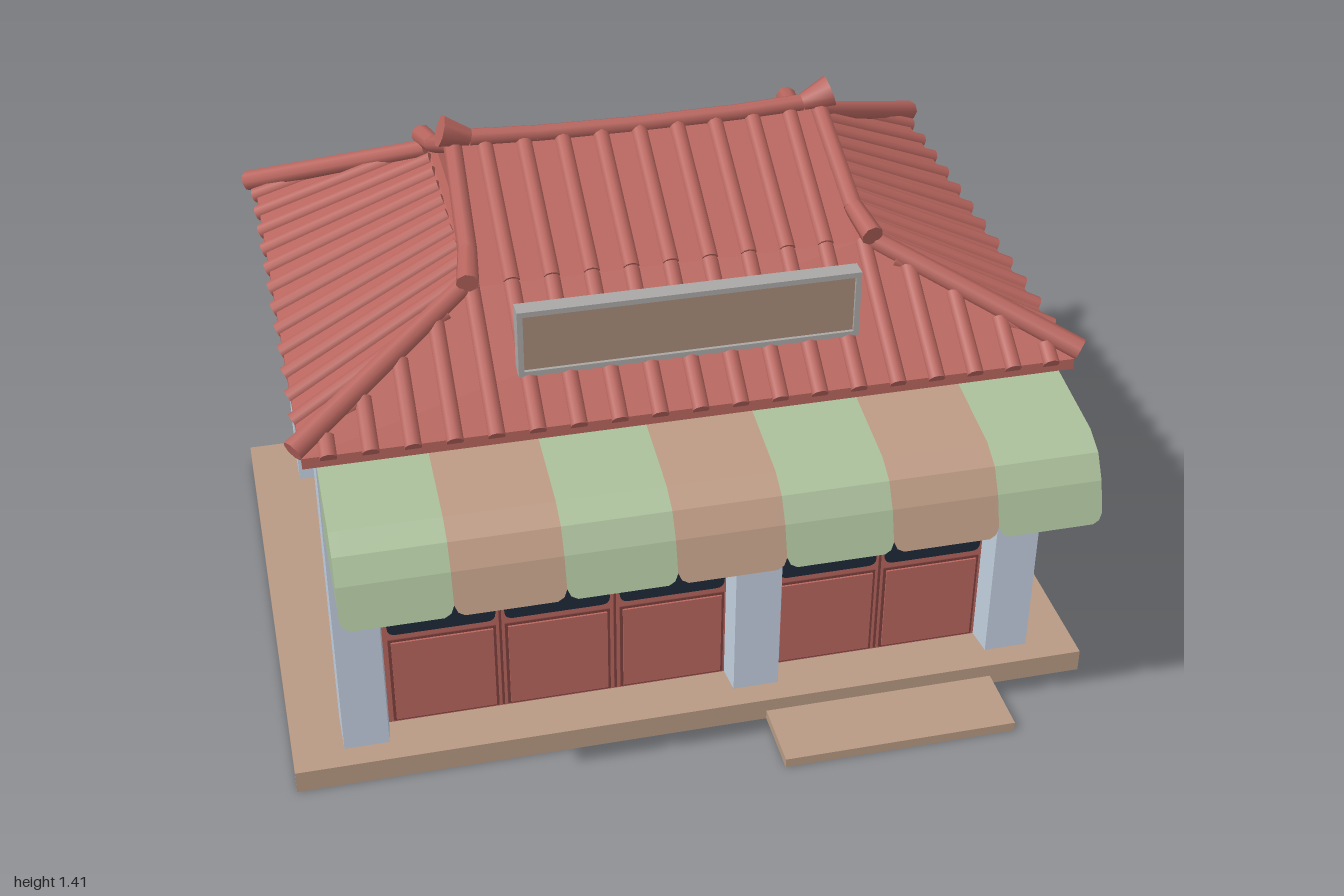
import * as THREE from 'three';

const mat = (name, color, side = THREE.FrontSide) => {
  const m = new THREE.MeshStandardMaterial({ color, side });
  m.name = name;
  return m;
};

export function createModel() {
  const root = new THREE.Group();
  root.name = 'tileRoofShop';
  const wall = mat('paleBlueWall', 0xc2cfdf);
  const red = mat('tileRed', 0xb9665f, THREE.DoubleSide);
  const brown = mat('baseBrown', 0xb89a84);
  const glass = mat('darkGlass', 0x1c2938);
  const green = mat('awningGreen', 0xaabf9b, THREE.DoubleSide);
  const tan = mat('awningTan', 0xbc9a84, THREE.DoubleSide);
  const grey = mat('signGrey', 0xaaa8a6);
  const signBrown = mat('signBrown', 0xa58b78);
  const edge = mat('doorShadowRed', 0x7c403d);

  const add = (name, geo, m, parent = root) => {
    const mesh = new THREE.Mesh(geo, m);
    mesh.name = name;
    parent.add(mesh);
    return mesh;
  };
  const group = (name) => {
    const g = new THREE.Group();
    g.name = name;
    root.add(g);
    return g;
  };
  // Box given by its limits on each axis
  const box = (name, m, x0, x1, y0, y1, z0, z1, parent) => {
    const geo = new THREE.BoxGeometry(x1 - x0, y1 - y0, z1 - z0);
    geo.translate((x0 + x1) / 2, (y0 + y1) / 2, (z0 + z1) / 2);
    return add(name, geo, m, parent);
  };
  // Round bar between two points, optionally tapered
  const bar = (name, a, b, r0, r1, sides, parent) => {
    const p = new THREE.Vector3(...a), q = new THREE.Vector3(...b);
    const d = q.clone().sub(p);
    const mesh = add(name, new THREE.CylinderGeometry(r1, r0, d.length(), sides), red, parent);
    mesh.position.copy(p).add(q).multiplyScalar(0.5);
    mesh.quaternion.setFromUnitVectors(new THREE.Vector3(0, 1, 0), d.normalize());
  };
  // Upright prism from an x, z outline
  const prism = (name, m, pts, y0, y1) => {
    const shape = new THREE.Shape(pts.map(([x, z]) => new THREE.Vector2(x, -z)));
    const geo = new THREE.ExtrudeGeometry(shape, { depth: y1 - y0, bevelEnabled: false });
    add(name, geo.rotateX(-Math.PI / 2).translate(0, y0, 0), m);
  };
  // Flat-shaded geometry from quads or triangles of corner points
  const faces = (list) => {
    const pos = [];
    for (const f of list)
      for (let i = 1; i < f.length - 1; i++) pos.push(...f[0], ...f[i], ...f[i + 1]);
    const geo = new THREE.BufferGeometry();
    geo.setAttribute('position', new THREE.Float32BufferAttribute(pos, 3));
    geo.computeVertexNormals();
    return geo;
  };

  // Base tray, open below, and the step
  box('baseTop', brown, -1, 1, 0.05, 0.06, -0.83, 0.55);
  for (const x of [-1, 0.99]) box('baseSide', brown, x, x + 0.01, 0, 0.05, -0.83, 0.55);
  for (const z of [-0.83, 0.54]) box('baseSide', brown, -0.99, 0.99, 0, 0.05, z, z + 0.01);
  box('frontStep', brown, 0.17, 0.76, 0, 0.025, 0.55, 0.73);

  // Walls
  box('wallBlock', wall, -0.785, 0.785, 0.06, 0.94, -0.765, 0.41);
  box('wallTop', wall, -0.785, 0.785, 0.94, 0.98, -0.69, 0.36);
  box('frontLintel', wall, -0.78, 0.78, 0.85, 0.935, 0.4, 0.48);

  // Pillars with slightly slanted returns
  for (const s of [-1, 1]) {
    const pillar = (name, pts) => prism(name, wall, pts.map(([x, z]) => [s * x, z]), 0.06, 0.935);
    pillar('frontPillar', [[0.875, 0.49], [0.765, 0.49], [0.756, 0.41], [0.78, 0.362], [0.875, 0.372]]);
    pillar('backPillar', [[0.875, -0.765], [0.77, -0.765], [0.78, -0.635], [0.875, -0.645]]);
  }
  prism('middlePillar', wall, [[0.1, 0.49], [0.215, 0.49], [0.223, 0.41], [0.092, 0.41]], 0.06, 0.935);

  // Wall footings inside the base tray
  const footings = group('footings');
  const strip = (x0, x1, z0, z1) => box('footing', wall, x0, x1, 0.005, 0.05, z0, z1, footings);
  strip(-0.77, 0.77, -0.765, -0.76);
  for (const s of [-1, 1]) {
    const stripX = (a, b, z0, z1) => strip(Math.min(s * a, s * b), Math.max(s * a, s * b), z0, z1);
    stripX(0.78, 0.785, -0.645, 0.372);
    stripX(0.87, 0.875, -0.765, -0.645);
    stripX(0.87, 0.875, 0.372, 0.49);
    stripX(0.77, 0.87, -0.765, -0.76);
    stripX(0.785, 0.87, -0.65, -0.645);
    stripX(0.785, 0.87, 0.372, 0.377);
    stripX(0.765, 0.87, 0.485, 0.49);
    stripX(0.76, 0.765, 0.42, 0.49);
  }
  strip(0.1, 0.215, 0.485, 0.49);
  for (const x of [0.1, 0.21]) strip(x, x + 0.005, 0.42, 0.485);
  box('doorSill', edge, -0.765, 0.765, 0.04, 0.05, 0.415, 0.42, footings);

  // Door panels with rounded windows
  const doors = group('doors');
  box('doorFrameLeft', red, -0.758, 0.094, 0.06, 0.85, 0.4, 0.42, doors);
  box('doorFrameRight', red, 0.221, 0.758, 0.06, 0.85, 0.4, 0.42, doors);
  const windowPane = (x0, x1, y0, y1, r) => {
    const s = new THREE.Shape();
    s.moveTo(x0 + r, y0);
    s.lineTo(x1 - r, y0);
    s.quadraticCurveTo(x1, y0, x1, y0 + r);
    s.lineTo(x1, y1 - r);
    s.quadraticCurveTo(x1, y1, x1 - r, y1);
    s.lineTo(x0 + r, y1);
    s.quadraticCurveTo(x0, y1, x0, y1 - r);
    s.lineTo(x0, y0 + r);
    s.quadraticCurveTo(x0, y0, x0 + r, y0);
    const geo = new THREE.ExtrudeGeometry(s, { depth: 0.006, bevelEnabled: false, curveSegments: 4 });
    return geo.translate(0, 0, 0.42);
  };
  for (const [a, b] of [[-0.745, -0.482], [-0.46, -0.2], [-0.175, 0.088], [0.228, 0.478], [0.5, 0.75]]) {
    box('doorPanelEdge', edge, a, b, 0.065, 0.32, 0.42, 0.423, doors);
    box('doorPanel', red, a + 0.007, b - 0.007, 0.072, 0.313, 0.42, 0.428, doors);
    add('windowPane', windowPane(a, b, 0.338, 0.82, 0.022), glass, doors);
  }
  for (const x of [-0.471, -0.1875, 0.489])
    box('doorGap', edge, x - 0.003, x + 0.003, 0.065, 0.82, 0.42, 0.423, doors);

  // Striped awning with rounded lower corners
  const awning = group('awning');
  const profile = [[0.485, 0.908], [0.7, 0.878], [0.755, 0.85], [0.79, 0.795], [0.822, 0.697]];
  const cols = [0, 0.03, 0.09, 0.91, 0.97, 1];
  const lift = [0.25, 0.08, 0, 0, 0.08, 0.25];
  for (let i = 0; i < 7; i++) {
    const x0 = -0.873 + i * 0.2494;
    const grid = new THREE.PlaneGeometry(1, 1, cols.length - 1, profile.length - 1);
    const p = grid.attributes.position;
    for (let k = 0; k < p.count; k++) {
      const c = k % cols.length, r = Math.floor(k / cols.length);
      let [z, y] = profile[r];
      if (r === profile.length - 1) {
        z += (profile[r - 1][0] - z) * lift[c];
        y += (profile[r - 1][1] - y) * lift[c];
      }
      p.setXYZ(k, x0 + cols[c] * 0.2494, y, z);
    }
    const geo = grid.toNonIndexed();
    geo.computeVertexNormals();
    add('awningStripe', geo, i % 2 ? tan : green, awning);
  }
  const sideShape = new THREE.Shape(
    [...profile.slice(0, -1), [0.815, 0.718], [0.485, 0.718]].map(([z, y]) => new THREE.Vector2(z, y)));
  for (const x of [-0.872, 0.872])
    add('awningSide', new THREE.ShapeGeometry(sideShape).rotateY(-Math.PI / 2).translate(x, 0, 0), green, awning);

  // Roof: an open hipped skirt with a lip below, a gabled top above
  const roof = group('roof');
  const zc = -0.14, eaveX = 0.905, eaveZ = 0.645, eaveY = 0.94;
  const topX = 0.47, topZ = 0.34, topY = 1.148, ridgeY = 1.335;
  const ring = (x, y, z) => [[-x, y, zc + z], [x, y, zc + z], [x, y, zc - z], [-x, y, zc - z]];
  const lip = ring(eaveX, 0.912, eaveZ), low = ring(eaveX, eaveY, eaveZ), up = ring(topX, topY, topZ);
  const skirt = [up];
  for (let i = 0; i < 4; i++) {
    const j = (i + 1) % 4;
    skirt.push([lip[i], lip[j], low[j], low[i]], [low[i], low[j], up[j], up[i]]);
  }
  add('hippedSkirt', faces(skirt), red, roof);
  const gx = 0.45;
  const g = ring(gx, topY, topZ + 0.01);
  const rl = [-gx, ridgeY, zc], rr = [gx, ridgeY, zc];
  add('gableRoof', faces([[g[0], g[1], rr, rl], [g[2], g[3], rl, rr], [g[1], g[2], rr], [g[3], g[0], rl]]), red, roof);

  // Tile ribs on every slope
  const mix = (a, b, t) => a + (b - a) * t;
  const ribs = group('tileRibs');
  const R = 0.02, sink = 0.004, step = 0.094;
  for (const s of [-1, 1]) {
    for (let i = -9; i <= 9; i++) {
      const x = i * step;
      const t = Math.min(1, (eaveX - Math.abs(x)) / (eaveX - topX));
      bar('skirtRib', [x, eaveY - sink, zc + s * (eaveZ + 0.005)],
        [x, mix(eaveY, topY, t) - sink, zc + s * mix(eaveZ, topZ, t)], R, R, 10, ribs);
      if (Math.abs(x) < 0.43)
        bar('gableRib', [x, topY, zc + s * (topZ + 0.005)], [x, ridgeY - sink, zc], R, R, 10, ribs);
    }
    // Side ribs lean slightly towards the middle
    for (let i = -6; i <= 6; i++) {
      const z0 = i * 0.098, z1 = z0 * 0.75;
      const t = Math.min(1, (eaveZ - Math.abs(z0)) / (eaveZ - topZ - Math.abs(z0 - z1)));
      bar('sideRib', [s * (eaveX + 0.005), eaveY - sink, zc + z0],
        [s * mix(eaveX, topX, t), mix(eaveY, topY, t) - sink, zc + mix(z0, z1, t)], R, R, 10, ribs);
    }
  }

  // Ridge, gable and hip caps
  const caps = group('roofCaps');
  const chain = (name, pts, radii) => {
    for (let i = 0; i < pts.length - 1; i++) bar(name, pts[i], pts[i + 1], radii[i], radii[i + 1], 8, caps);
  };
  for (const s of [-1, 1]) {
    chain('ridgeCap', [[0, 1.338, zc], [s * 0.25, 1.342, zc], [s * 0.41, 1.35, zc], [s * 0.48, 1.374, zc]],
      [0.02, 0.02, 0.021, 0.04]);
    for (const d of [-1, 1]) {
      chain('gableCap', [[s * 0.452, 1.335, zc], [s * 0.465, 1.2, zc + d * 0.27], [s * 0.482, 1.175, zc + d * 0.375]],
        [0.022, 0.023, 0.027]);
      chain('hipCap', [[s * 0.922, 0.957, zc + d * 0.635], [s * 0.475, 1.157, zc + d * 0.335]], [0.027, 0.023]);
    }
  }

  // Blank sign board
  const sign = group('signBoard');
  box('signBack', grey, -0.4, 0.4, 1.02, 1.19, 0.37, 0.4, sign);
  box('signPanel', signBrown, -0.388, 0.388, 1.032, 1.178, 0.4, 0.404, sign);
  for (const y of [1.02, 1.177]) box('signRail', grey, -0.4, 0.4, y, y + 0.013, 0.4, 0.412, sign);
  for (const x of [-0.4, 0.387]) box('signStile', grey, x, x + 0.013, 1.033, 1.177, 0.4, 0.412, sign);

  return root;
}
